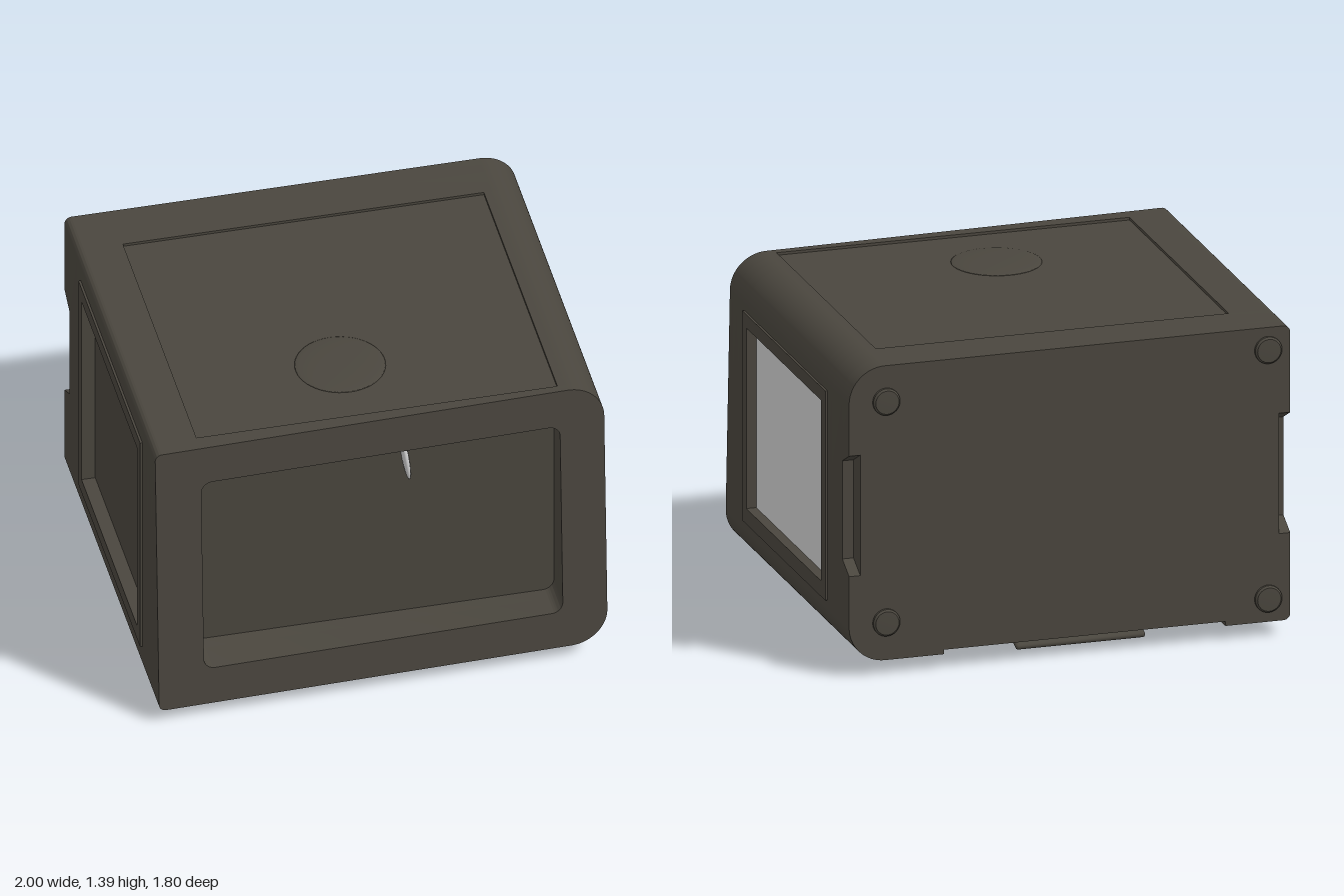
import * as THREE from 'three';
import { toCreasedNormals } from 'three/addons/utils/BufferGeometryUtils.js';
import { RoundedBoxGeometry } from 'three/addons/geometries/RoundedBoxGeometry.js';

const L = -0.99, R = 0.985, B = 0.07, T = 1.39, PI = Math.PI;

// Slanted front: leans back with height and towards the left
const frontZ = (x, y) => 0.87 - 0.025 * x - 0.058 * (y - B);

function rectPath(path, x0, y0, x1, y1, r) {
  path.moveTo(x0 + r, y0);
  path.lineTo(x1 - r, y0);
  path.absarc(x1 - r, y0 + r, r, -PI / 2, 0, false);
  path.absarc(x1 - r, y1 - r, r, 0, PI / 2, false);
  path.absarc(x0 + r, y1 - r, r, PI / 2, PI, false);
  path.absarc(x0 + r, y0 + r, r, PI, 1.5 * PI, false);
  return path;
}

// Cabinet outline; each option cuts a step [from, to, depth] into one side
function outline({ top, bottom, left, right, hole }) {
  const s = new THREE.Shape();
  const step = (cut, at) => {
    if (!cut) return;
    const [a, b, d] = cut;
    for (const [p, q] of [[a, 0], [a, d], [b, d], [b, 0]]) s.lineTo(...at(p, q));
  };
  s.moveTo(L + 0.03, B);
  step(bottom, (p, d) => [p, B + d]);
  s.lineTo(R - 0.16, B);
  s.absarc(R - 0.16, B + 0.16, 0.16, -PI / 2, 0, false);
  step(right, (p, d) => [R - d, p]);
  s.absarc(R - 0.16, T - 0.16, 0.16, 0, PI / 2, false);
  step(top, (p, d) => [p, T - d]);
  s.absarc(L + 0.03, T - 0.03, 0.03, PI / 2, PI, false);
  step(left, (p, d) => [L + d, p]);
  s.absarc(L + 0.03, B + 0.03, 0.03, PI, 1.5 * PI, false);
  if (hole) s.holes.push(rectPath(new THREE.Path(), -0.79, 0.25, 0.79, 1.21, 0.05));
  return s;
}

export function createModel() {
  const group = new THREE.Group();
  const mat = (name, color) => {
    const m = new THREE.MeshStandardMaterial({ color });
    m.name = name;
    return m;
  };
  const brown = mat('dark brown', 0x4a463e);
  const light = mat('light grey', 0xd0d0d0);
  const add = (name, geo, m, x = 0, y = 0, z = 0) => {
    const mesh = new THREE.Mesh(geo, m);
    mesh.name = name;
    mesh.position.set(x, y, z);
    group.add(mesh);
    return mesh;
  };

  // One slice of the cabinet between z0 and z1; z1 may follow a rule
  function slice(name, z0, z1, cuts, adjust) {
    const geo = new THREE.ExtrudeGeometry(outline(cuts), { depth: 1, bevelEnabled: false, curveSegments: 12 });
    const p = geo.attributes.position;
    for (let i = 0; i < p.count; i++) {
      const x = p.getX(i), y = p.getY(i), end = p.getZ(i) > 0.5;
      p.setZ(i, !end ? z0 : typeof z1 === 'function' ? z1(x, y) : z1);
      if (adjust && end) p.setY(i, adjust(x, y));
    }
    add(name, toCreasedNormals(geo, 0.5), brown);
  }
  const top = [0.79, -0.79, 0.012];
  const bottom = [-0.91, 0.72, 0.02];
  const left = [1.21, 0.25, 0.05];
  const right = [0.33, 1.14, 0.04];

  // Back slice with grip notches whose ends slope
  slice('backSection', -0.88, -0.785,
    { right: [0.46, 1.0, 0.05], left: [1.0, 0.46, 0.05], bottom: [-0.7, 0.56, 0.02] },
    (x, y) => Math.abs(y - 1) < 0.01 ? 0.95 : Math.abs(y - 0.46) < 0.01 ? 0.51 : y);
  slice('rearBody', -0.785, -0.645, {});
  slice('rearTopBody', -0.645, -0.58, { top });
  slice('rearBottomBody', -0.58, -0.52, { top, bottom });
  slice('middleBody', -0.52, 0.52, { top, bottom, left, right });
  slice('foreBottomBody', 0.52, 0.6, { top, bottom });
  slice('foreBody', 0.6, 0.67, { top });
  slice('frontRecess', 0.67, 0.735, { top, hole: true });
  slice('frontBezel', 0.735, frontZ, { hole: true });

  // Thin frames around the side openings
  const frame = (name, x, y0, y1, in0, in1) => {
    const s = rectPath(new THREE.Shape(), -0.58, y0, 0.58, y1, 0.004);
    s.holes.push(rectPath(new THREE.Path(), -0.52, in0, 0.52, in1, 0.001));
    const geo = new THREE.ExtrudeGeometry(s, { depth: 0.01, bevelEnabled: false, curveSegments: 2 });
    add(name, geo.rotateY(PI / 2), brown, x);
  };
  frame('leftWindowFrame', R, 0.26, 1.2, 0.33, 1.14);
  frame('rightWindowFrame', L - 0.01, 0.18, 1.28, 0.25, 1.21);
  add('sideScreen', new THREE.BoxGeometry(0.006, 0.81, 1.04), light, R - 0.038, 0.735, 0);

  // Shallow domed disc on the top panel
  const dome = new THREE.SphereGeometry(1, 48, 8, 0, PI * 2, 0, PI / 2);
  add('topDisc', dome.scale(0.195, 0.011, 0.195), brown, -0.075, T - 0.012, 0.365);

  // White pointer emerging from the recess wall
  const pointer = add('pointer', new THREE.SphereGeometry(1, 16, 16), light, 0.138, 1.08, 0.67);
  pointer.scale.set(0.015, 0.13, 0.03);
  pointer.rotation.z = 0.15;

  // Light half of the bottom panel
  const tri = new THREE.BufferGeometry();
  tri.setAttribute('position', new THREE.Float32BufferAttribute(
    [0.72, 0, 0.6, -0.91, 0, 0.6, -0.91, 0, -0.58], 3));
  tri.computeVertexNormals();
  add('bottomPanel', tri, light, 0, B + 0.017, 0);

  // Round feet on the back
  for (const [x, y] of [[-0.89, 1.29], [-0.89, 0.175], [0.82, 1.23], [0.82, 0.24]]) {
    const foot = new THREE.LatheGeometry(
      [[0.06, 0], [0.06, 0.012], [0.052, 0.02], [0, 0.022]].map(([r, h]) => new THREE.Vector2(r, h)), 32);
    add('backFoot', toCreasedNormals(foot, 0.6).rotateX(-PI / 2), brown, x, y, -0.88);
  }

  // Tilted pull, side latch and clips underneath
  const pull = add('bottomPull', new RoundedBoxGeometry(0.58, 0.025, 0.15, 3, 0.012), brown, -0.1, 0.04, -0.665);
  pull.rotation.x = -0.38;
  const latch = new THREE.CapsuleGeometry(0.022, 0.17, 6, 16).rotateX(PI / 2);
  add('bottomLatch', latch, brown, 0.745, 0.046, -0.022);
  add('latchStem', new THREE.BoxGeometry(0.03, 0.03, 0.1), brown, 0.745, 0.065, -0.022);
  for (const z of [0.56, -0.54])
    add('bottomClip', new THREE.BoxGeometry(0.04, 0.03, 0.08), brown, -0.9, 0.077, z);
  add('bottomDot', new THREE.CylinderGeometry(0.025, 0.025, 0.006, 20), light, -0.89, B, 0.84);

  return group;
}
